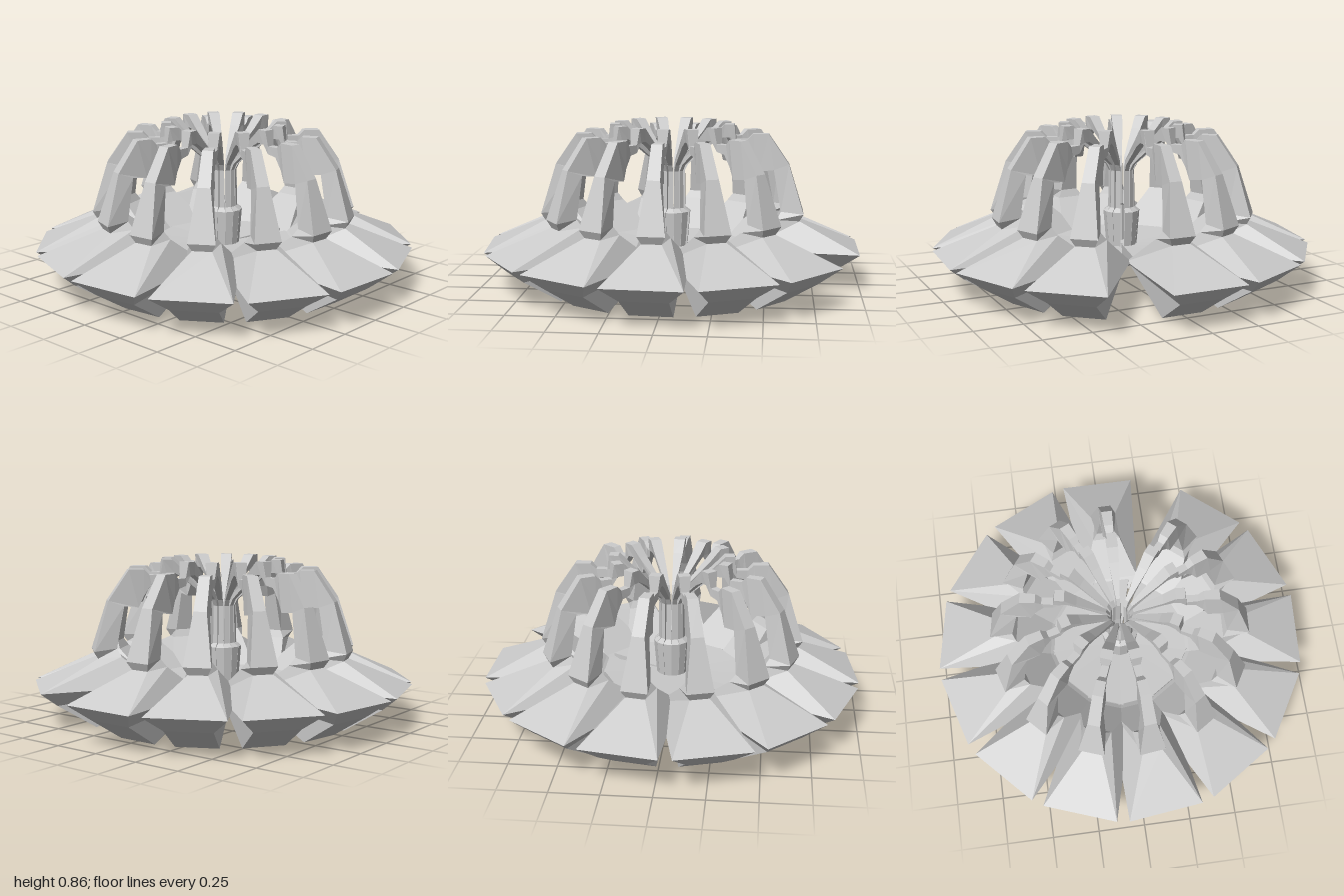
import * as THREE from 'three';

const material = new THREE.MeshStandardMaterial({ color: 0xcccccc, flatShading: true, side: THREE.DoubleSide });

// Skins a chain of rectangular sections lying across the x-y plane.
// Each section: [outer r, outer y, outer half width, inner r, inner y, inner half width]
function sweepSections(sections) {
  const positions = [];
  const index = [];
  for (const [ro, yo, wo, ri, yi, wi] of sections) {
    positions.push(ro, yo, wo, ro, yo, -wo, ri, yi, -wi, ri, yi, wi);
  }
  const quad = (a, b, c, d) => index.push(a, b, c, a, c, d);
  for (let s = 0; s < sections.length - 1; s++) {
    for (let k = 0; k < 4; k++) {
      const n = (k + 1) % 4;
      quad(s * 4 + k, s * 4 + n, s * 4 + 4 + n, s * 4 + 4 + k);
    }
  }
  const e = (sections.length - 1) * 4;
  quad(3, 2, 1, 0);
  quad(e, e + 1, e + 2, e + 3);
  const geometry = new THREE.BufferGeometry();
  geometry.setAttribute('position', new THREE.Float32BufferAttribute(positions, 3));
  geometry.setIndex(index);
  const flat = geometry.toNonIndexed();
  flat.computeVertexNormals();
  return flat;
}

// Wide foot: narrow keel, flared rim, sloping inner bowl, narrow ledge
const foot = [
  [0.70, 0.00, 0.11, 0.32, 0.17, 0.10],
  [0.90, 0.125, 0.12, 0.34, 0.185, 0.11],
  [0.99, 0.205, 0.20, 0.38, 0.21, 0.15],
  [0.68, 0.35, 0.05, 0.56, 0.36, 0.075],
  [0.70, 0.39, 0.07, 0.58, 0.40, 0.05],
];

// Slim upright rib that bends inward and ends in a hooked shoulder
const rib = [
  foot[4],
  [0.62, 0.65, 0.033, 0.54, 0.62, 0.033],
  [0.51, 0.81, 0.028, 0.46, 0.61, 0.028],
  [0.43, 0.81, 0.024, 0.43, 0.67, 0.02],
  [0.40, 0.78, 0.018, 0.39, 0.73, 0.018],
];

// Thin link rising to the crown tip, then a spoke falling to the centre
const spoke = [
  rib[4],
  [0.34, 0.78, 0.02, 0.34, 0.74, 0.02],
  [0.33, 0.86, 0.03, 0.31, 0.79, 0.025],
  [0.28, 0.86, 0.03, 0.27, 0.79, 0.022],
  [0.22, 0.80, 0.026, 0.22, 0.76, 0.02],
  [0.07, 0.67, 0.01, 0.085, 0.645, 0.012],
];

// Hanging strand of the central stem, flaring into a cup
const strand = [
  spoke[5],
  [0.05, 0.62, 0.008, 0.067, 0.61, 0.012],
  [0.055, 0.41, 0.01, 0.07, 0.41, 0.014],
  [0.07, 0.40, 0.014, 0.095, 0.39, 0.022],
  [0.06, 0.20, 0.012, 0.08, 0.20, 0.018],
];

// Floor blade: level above, with an underside dropping to a low centre point
const floorBlade = [
  [0.02, 0.07, 0.006, 0.01, 0.20, 0.004],
  [0.36, 0.205, 0.10, 0.36, 0.22, 0.10],
];

const parts = Object.entries({ foot, rib, spoke, strand, floorBlade })
  .map(([name, sections]) => [name, sweepSections(sections)]);

export function createModel() {
  const model = new THREE.Group();
  model.name = 'radialPavilion';

  // Thirteen arms at a step that leaves one half-step gap
  const step = (Math.PI * 2) / 13.5;
  for (let i = 0; i < 13; i++) {
    const arm = new THREE.Group();
    arm.name = 'arm';
    for (const [name, geometry] of parts) {
      const mesh = new THREE.Mesh(geometry, material);
      mesh.name = name;
      arm.add(mesh);
    }
    arm.rotation.y = i * step;
    model.add(arm);
  }
  return model;
}
